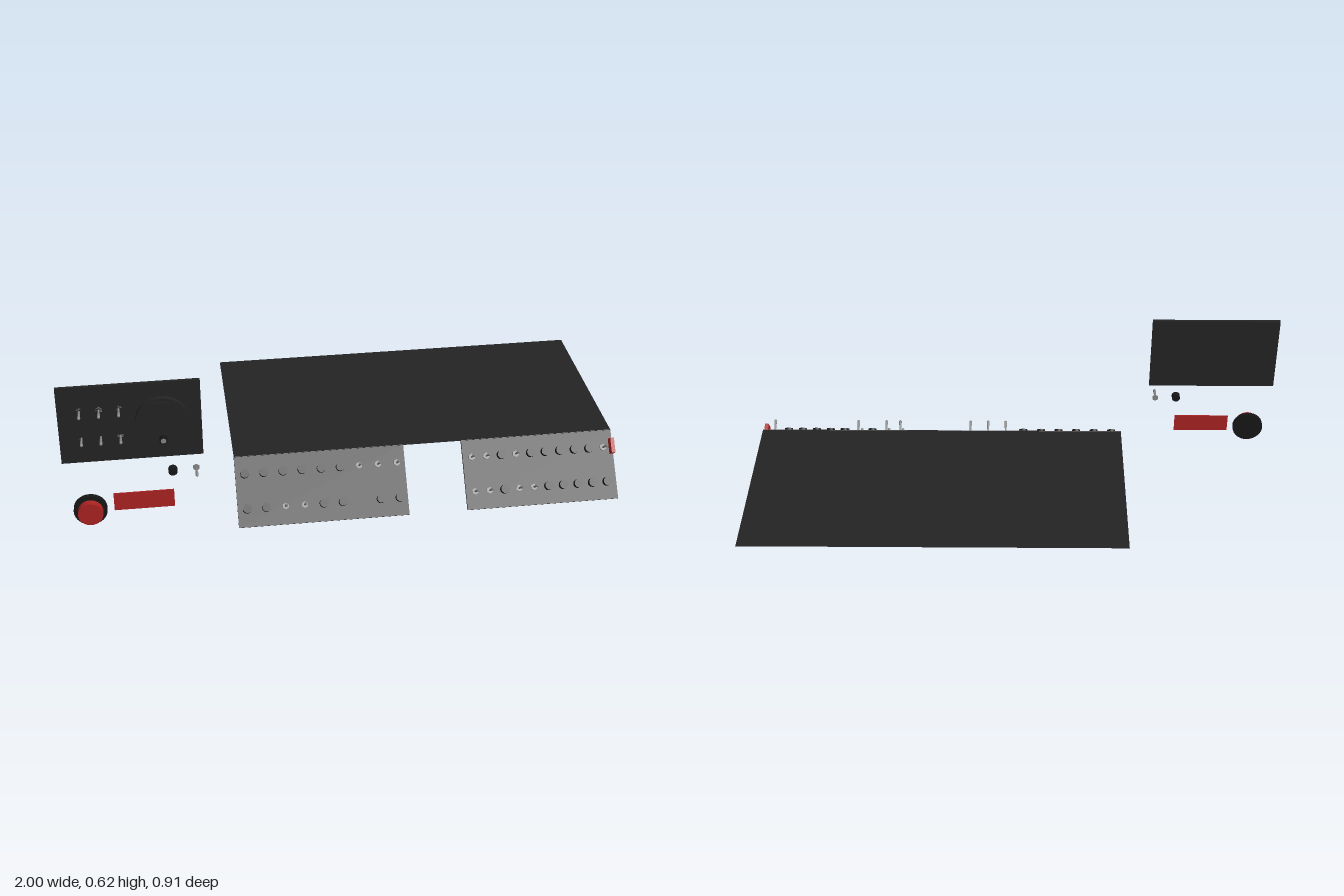
import * as THREE from 'three';

const material = (name, color) => {
  const m = new THREE.MeshStandardMaterial({ color });
  m.name = name;
  return m;
};

export function createModel() {
  const model = new THREE.Group();
  const panelBlack = material('panel black', 0x232323);
  const knobBlack = material('knob black', 0x161616);
  const red = material('signal red', 0xaa2222);
  const steel = material('steel', 0x858585);
  const topMat = panelBlack.clone();
  topMat.name = 'desk top black';
  topMat.side = THREE.DoubleSide;

  const add = (parent, name, geometry, mat, x = 0, y = 0, z = 0) => {
    const mesh = new THREE.Mesh(geometry, mat);
    mesh.name = name;
    mesh.position.set(x, y, z);
    parent.add(mesh);
    return mesh;
  };
  // disc standing on a surface that faces +z
  const disc = (r, depth, sides = 24) =>
    new THREE.CylinderGeometry(r, r, depth, sides).rotateX(Math.PI / 2).translate(0, 0, depth / 2);

  const knobGeo = disc(0.016, 0.021, 16);
  const nutGeo = disc(0.0125, 0.006, 6);
  // lever profile widens to a rounded tip
  const leverGeo = new THREE.LatheGeometry(
    [[0, 0], [0.0035, 0], [0.0035, 0.02], [0.0055, 0.05], [0.005, 0.055], [0, 0.058]]
      .map(([r, h]) => new THREE.Vector2(r, h)), 10).rotateX(Math.PI / 2);

  const knob = (parent, x, y, z) => add(parent, 'knob', knobGeo, knobBlack, x, y, z);
  const toggle = (parent, x, y, z) => {
    const g = new THREE.Group();
    g.name = 'toggleSwitch';
    g.position.set(x, y, z);
    add(g, 'switchNut', nutGeo, steel);
    add(g, 'switchLever', leverGeo, steel);
    parent.add(g);
  };

  // flat desk top
  add(model, 'deskTop', new THREE.PlaneGeometry(1.4, 0.705).rotateX(-Math.PI / 2), topMat, 0.3, 0.203, -0.1025);

  // sloping control panels; row strings: k = knob, s = switch, - = empty
  const slopedPanel = (name, x0, x1, firstX, step, rows) => {
    const g = new THREE.Group();
    g.name = name;
    g.position.set(0, 0.003, 0.408);
    g.rotation.x = -0.692;
    add(g, 'panelPlate', new THREE.BoxGeometry(x1 - x0, 0.257, 0.01), panelBlack, (x0 + x1) / 2, 0.1285, 0);
    rows.forEach((row, r) => [...row].forEach((c, i) => {
      const x = firstX + i * step, y = r === 0 ? 0.192 : 0.065;
      if (c === 'k') knob(g, x, y, 0.005);
      if (c === 's') toggle(g, x, y, 0.005);
    }));
    model.add(g);
    return g;
  };
  slopedPanel('rightControlPanel', -0.4, 0.22, -0.366, 0.0695, ['kkkkkksss', 'kksskk-kk']);
  const left = slopedPanel('leftControlPanel', 0.435, 1, 0.468, 0.055, ['sskskkkkks', 'ssksskkkkk']);
  add(left, 'redSideBlock', new THREE.BoxGeometry(0.014, 0.056, 0.033), red, 0.993, 0.194, 0.0215);

  // upright panel with six switches and a round dial
  const zBack = 0.388;
  add(model, 'uprightPanel', new THREE.BoxGeometry(0.487, 0.297, 0.012), panelBlack, -0.7565, 0.4735, zBack + 0.006);
  for (const y of [0.529, 0.422])
    for (const x of [-0.925, -0.859, -0.792]) toggle(model, x, y, zBack + 0.006);
  add(model, 'dial', disc(0.091, 0.019, 40), panelBlack, -0.648, 0.478, 0.4);
  add(model, 'dialKnob', disc(0.014, 0.018, 16), knobBlack, -0.648, 0.411, 0.419);
  add(model, 'dialKnobCap', disc(0.01, 0.002, 8), steel, -0.648, 0.411, 0.436);
  add(model, 'dialMarker', new THREE.BoxGeometry(0.05, 0.027, 0.007), panelBlack, -0.648, 0.5415, 0.4225);

  // loose knob and switch
  knob(model, -0.622, 0.265, zBack);
  toggle(model, -0.54, 0.265, zBack);

  // emergency button and red plate
  add(model, 'buttonBase', disc(0.059, 0.017, 32), knobBlack, -0.917, 0.125, zBack);
  add(model, 'redButton', disc(0.044, 0.026, 32), red, -0.917, 0.125, 0.404);
  add(model, 'redPlate', new THREE.BoxGeometry(0.212, 0.07, 0.004), red, -0.728, 0.145, zBack + 0.002);

  return model;
}
